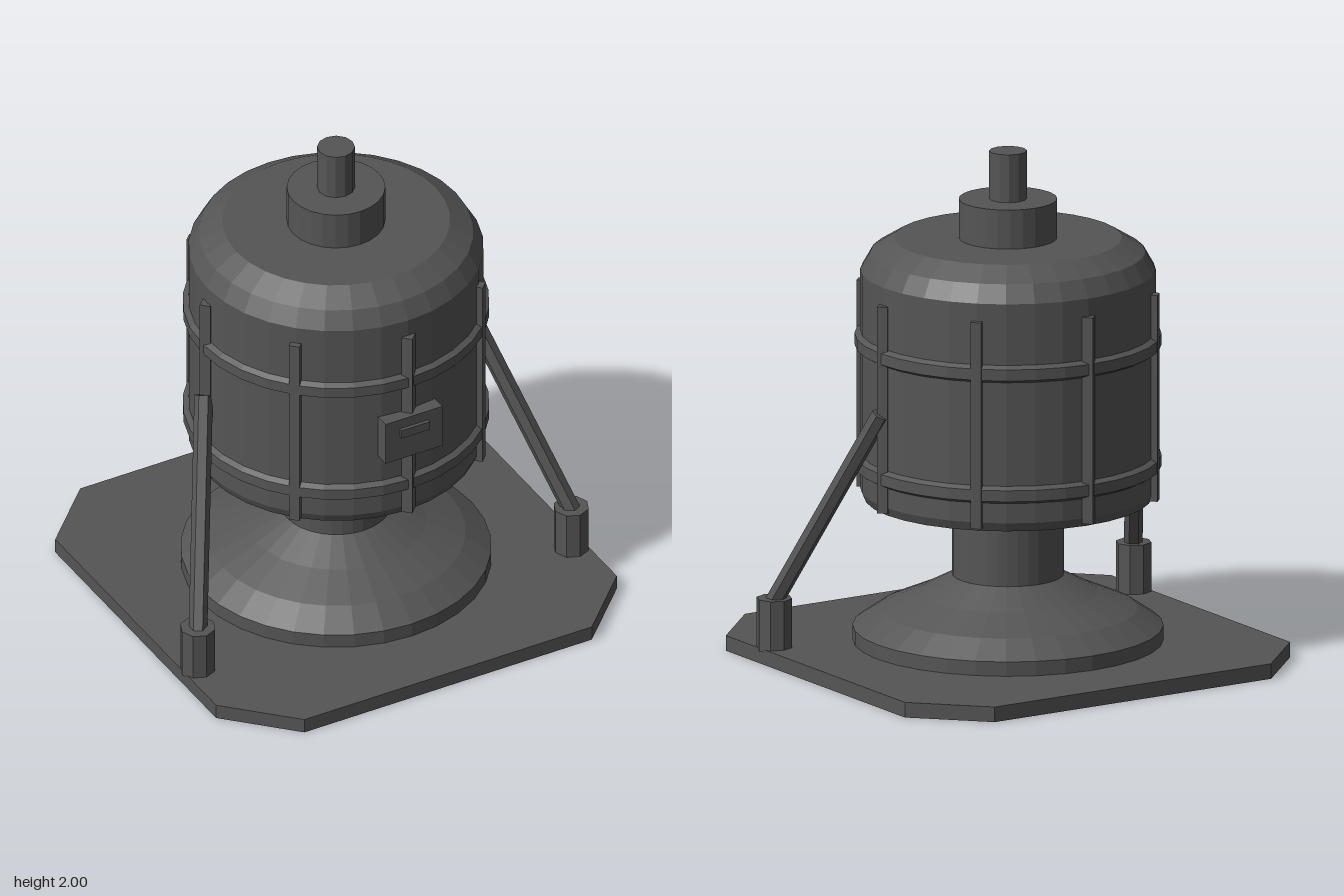
import * as THREE from 'three';

export function createModel() {
  const model = new THREE.Group();
  const darkGrey = new THREE.MeshStandardMaterial({ color: 0x555555, flatShading: true });
  darkGrey.name = 'darkGrey';

  function add(name, geometry, x = 0, y = 0, z = 0) {
    const mesh = new THREE.Mesh(geometry, darkGrey);
    mesh.name = name;
    mesh.position.set(x, y, z);
    model.add(mesh);
    return mesh;
  }
  const lathe = (points, sides = 32) =>
    new THREE.LatheGeometry(points.map(([r, y]) => new THREE.Vector2(r, y)), sides);
  // Upright prism between two heights
  const post = (name, r, y0, y1, sides, x = 0, z = 0) =>
    add(name, new THREE.CylinderGeometry(r, r, y1 - y0, sides), x, (y0 + y1) / 2, z);

  // Square floor plate with cut corners
  const h = 0.885, c = 0.635;
  const outline = new THREE.Shape([
    [-c, -h], [c, -h], [h, -c], [h, c], [c, h], [-c, h], [-h, c], [-h, -c],
  ].map(([x, y]) => new THREE.Vector2(x, y)));
  const plate = new THREE.ExtrudeGeometry(outline, { depth: 0.06, bevelEnabled: false });
  plate.rotateX(-Math.PI / 2);
  add('basePlate', plate);

  // Flared pedestal and neck
  add('pedestal', lathe([
    [0.6, 0.055], [0.6, 0.117], [0.5, 0.185], [0.35, 0.25], [0.215, 0.32], [0.215, 0.6],
  ]));

  // Tank with bevelled ends
  add('tank', lathe([
    [0, 0.575], [0.315, 0.575], [0.555, 0.625], [0.57, 0.66],
    [0.57, 1.53], [0.53, 1.6], [0.44, 1.655], [0, 1.655],
  ]));
  post('collar', 0.19, 1.65, 1.81, 24);
  post('topShaft', 0.073, 1.8, 2, 12);

  // Bevelled hoops round the tank
  for (const y of [0.773, 1.253]) {
    add('hoop', lathe([
      [0.56, y - 0.04], [0.592, y - 0.022], [0.592, y + 0.022], [0.56, y + 0.04],
    ]));
  }

  // Vertical ribs
  for (let i = 0; i < 8; i++) {
    const a = i * Math.PI / 4;
    post('rib', 0.03, 0.64, 1.46, 4, Math.sin(a) * 0.572, Math.cos(a) * 0.572);
  }

  // Control box with handle
  add('controlBox', new THREE.BoxGeometry(0.25, 0.185, 0.075), 0, 1.018, 0.578);
  add('boxHandle', new THREE.BoxGeometry(0.125, 0.037, 0.025), 0, 1.05, 0.617);

  // Slanted braces and their footings
  for (const s of [1, -1]) {
    post('braceFooting', 0.07, 0.05, 0.255, 8, s * 0.825, 0.383);
    const top = new THREE.Vector3(s * 0.585, 1.03, 0);
    const foot = new THREE.Vector3(s * 0.825, 0.24, 0.385);
    const dir = top.clone().sub(foot);
    const brace = add('brace', new THREE.CylinderGeometry(0.036, 0.036, dir.length(), 6));
    brace.position.copy(top).add(foot).multiplyScalar(0.5);
    brace.quaternion.setFromUnitVectors(new THREE.Vector3(0, 1, 0), dir.normalize());
  }
  return model;
}
